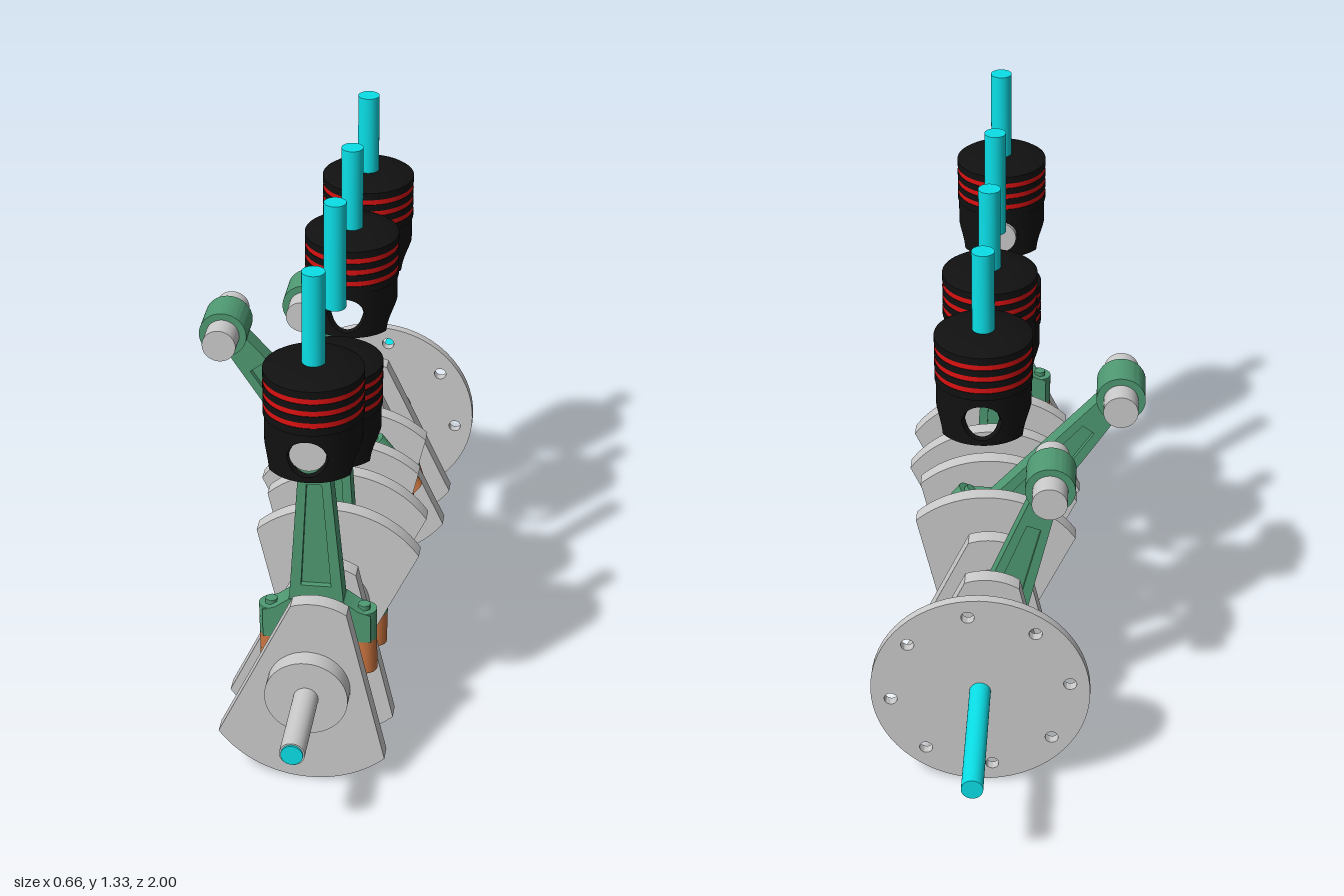
import * as THREE from 'three';
import { toCreasedNormals } from 'three/addons/utils/BufferGeometryUtils.js';

const mat = (color) => new THREE.MeshStandardMaterial({ color, side: THREE.DoubleSide });
const grey = mat(0xcccccc), black = mat(0x111111), red = mat(0xdd1111);
const green = mat(0x4f9a73), orange = mat(0xcc7540), cyan = mat(0x0ae0e8);
const AX = 0.058, AY = 0.272; // crankshaft axis

function add(parent, name, geo, material, x = 0, y = 0, z = 0) {
  const m = new THREE.Mesh(geo, material);
  m.name = name;
  m.position.set(x, y, z);
  parent.add(m);
  return m;
}

// Cylinder along z between two z values
function rodZ(parent, name, r, z0, z1, material, x = 0, y = 0) {
  const geo = new THREE.CylinderGeometry(r, r, Math.abs(z1 - z0), 48).rotateX(Math.PI / 2);
  return add(parent, name, geo, material, x, y, (z0 + z1) / 2);
}

// Flat shape extruded along z, centred on z = 0
function plate(shape, depth) {
  const g = new THREE.ExtrudeGeometry(shape, { depth, bevelEnabled: false, curveSegments: 32 });
  return toCreasedNormals(g.translate(0, 0, -depth / 2), 0.5);
}

const polygon = (pts) => new THREE.Shape(pts.map(([x, y]) => new THREE.Vector2(x, y)));

// Counterweighted web with its throw pointing up
function webShape() {
  const s = new THREE.Shape();
  const a = Math.atan2(-0.173, 0.203), c = Math.atan2(0.13, 0.067);
  s.absarc(0, 0, 0.267, Math.PI - a, a + Math.PI * 2, false);
  s.absarc(0, 0.09, 0.146, c, Math.PI - c, false);
  s.closePath();
  return s;
}

function flangeShape() {
  const s = new THREE.Shape().absarc(0, 0, 0.267, 0, Math.PI * 2);
  for (let i = 0; i < 8; i++) {
    const a = -0.13 + i * Math.PI / 4;
    s.holes.push(new THREE.Path().absarc(0.22 * Math.cos(a), 0.22 * Math.sin(a), 0.016, 0, Math.PI * 2, true));
  }
  return s;
}

// Piston skirt: curved wall with pin holes at front and back and arches at the sides
function skirtGeometry(R, r, top, bottom, pinY, pinR) {
  const pos = [], N = 128;
  const bot = (a) => {
    const z = R * Math.sin(a), w = 0.062;
    return Math.abs(z) < w ? bottom + Math.sqrt(w * w - z * z) * 0.95 : bottom;
  };
  const hole = (a) => {
    const x = R * Math.cos(a);
    return Math.abs(x) < pinR ? Math.sqrt(pinR * pinR - x * x) : 0;
  };
  const P = (rad, a, y) => [rad * Math.cos(a), y, rad * Math.sin(a)];
  const quad = (a, b, c, d) => pos.push(...a, ...b, ...c, ...a, ...c, ...d);
  const wall = (a, b, loA, hiA, loB, hiB) => {
    quad(P(R, a, loA), P(R, a, hiA), P(R, b, hiB), P(R, b, loB));
    quad(P(r, a, loA), P(r, b, loB), P(r, b, hiB), P(r, a, hiA));
    quad(P(R, a, loA), P(R, b, loB), P(r, b, loB), P(r, a, loA));
    quad(P(R, a, hiA), P(r, a, hiA), P(r, b, hiB), P(R, b, hiB));
  };
  for (let i = 0; i < N; i++) {
    const a = i / N * Math.PI * 2, b = (i + 1) / N * Math.PI * 2;
    const hA = hole(a), hB = hole(b);
    const cutA = Math.abs(Math.cos(a)) < 0.7 ? pinY : (top + bot(a)) / 2;
    const cutB = Math.abs(Math.cos(b)) < 0.7 ? pinY : (top + bot(b)) / 2;
    if (hA || hB) {
      wall(a, b, cutA + hA, top, cutB + hB, top);
      wall(a, b, bot(a), cutA - hA, bot(b), cutB - hB);
    } else wall(a, b, bot(a), top, bot(b), top);
  }
  const g = new THREE.BufferGeometry();
  g.setAttribute('position', new THREE.Float32BufferAttribute(pos, 3));
  g.computeVertexNormals();
  return toCreasedNormals(g, 0.5);
}

// Piston with its crown top at y = 0
function makePiston() {
  const g = new THREE.Group();
  g.name = 'piston';
  const R = 0.117, rings = [-0.042, -0.073, -0.104];
  const pts = [[0, 0], [0.06, -0.003], [0.108, -0.01], [R, -0.016]];
  for (const y of rings) pts.push([R, y + 0.007], [R - 0.008, y + 0.007], [R - 0.008, y - 0.007], [R, y - 0.007]);
  pts.push([R, -0.13], [0, -0.13]);
  const crown = new THREE.LatheGeometry(pts.reverse().map(([x, y]) => new THREE.Vector2(x, y)), 64);
  add(g, 'pistonCrown', toCreasedNormals(crown, 0.5), black);
  for (const y of rings) add(g, 'pistonRing', new THREE.CylinderGeometry(R - 0.001, R - 0.001, 0.013, 64), red, 0, y, 0);
  add(g, 'pistonSkirt', skirtGeometry(0.114, 0.095, -0.13, -0.255, -0.195, 0.046), black);
  return g;
}

// Connecting rod hanging down from its wrist pin at the origin
function makeRod() {
  const g = new THREE.Group(), L = 0.56;
  g.name = 'connectingRod';
  rodZ(g, 'wristPin', 0.043, -0.11, 0.11, grey);
  const eye = new THREE.Shape().absarc(0, 0, 0.061, 0, Math.PI * 2);
  eye.holes.push(new THREE.Path().absarc(0, 0, 0.043, 0, Math.PI * 2, true));
  add(g, 'smallEnd', plate(eye, 0.1), green);

  // Tapered beam with a recess on both faces
  const beam = polygon([[-0.033, -0.05], [0.033, -0.05], [0.066, -0.46], [-0.066, -0.46]]);
  const pocket = [[-0.018, -0.13], [0.018, -0.13], [0.036, -0.41], [-0.036, -0.41]];
  beam.holes.push(polygon(pocket));
  add(g, 'beam', plate(beam, 0.052), green);
  add(g, 'beamWeb', plate(polygon(pocket), 0.022), green);

  // Big end: upper half with shoulders, lower cap with a rib
  const upper = new THREE.Shape();
  upper.moveTo(0.13, 0).lineTo(0.13, 0.075).lineTo(0.1, 0.085).lineTo(0.066, 0.11).lineTo(-0.066, 0.11);
  upper.lineTo(-0.1, 0.085).lineTo(-0.13, 0.075).lineTo(-0.13, 0).lineTo(-0.06, 0);
  upper.absarc(0, 0, 0.06, Math.PI, 0, true);
  add(g, 'bigEnd', plate(upper, 0.06), green, 0, -L, 0);
  const half = (r) => {
    const s = new THREE.Shape().absarc(0, 0, r, 0, Math.PI, false);
    s.lineTo(-0.06, 0).absarc(0, 0, 0.06, Math.PI, 0, true);
    return s;
  };
  add(g, 'bearingHalf', plate(half(0.09), 0.118), green, 0, -L, 0);
  add(g, 'capBearingHalf', plate(half(0.09), 0.118), orange, 0, -L, 0).rotation.z = Math.PI;
  const cap = new THREE.Shape();
  cap.moveTo(-0.13, 0).lineTo(-0.13, -0.075).lineTo(-0.045, -0.168).lineTo(0.045, -0.168);
  cap.lineTo(0.13, -0.075).lineTo(0.13, 0).lineTo(0.06, 0);
  cap.absarc(0, 0, 0.06, 0, Math.PI, true);
  add(g, 'bigEndCap', plate(cap, 0.046), orange, 0, -L, 0);
  for (const s of [-1, 1]) {
    add(g, 'boltBoss', new THREE.CylinderGeometry(0.03, 0.03, 0.08, 24), green, s * 0.112, -L + 0.04, 0);
    add(g, 'capBoltBoss', new THREE.CylinderGeometry(0.03, 0.03, 0.09, 24), orange, s * 0.112, -L - 0.045, 0);
    add(g, 'bolt', new THREE.CylinderGeometry(0.016, 0.016, 0.012, 6), green, s * 0.112, -L + 0.086, 0);
  }
  return g;
}

export function createModel() {
  const model = new THREE.Group();
  model.name = 'crankAssembly';

  // Crankshaft
  const crank = new THREE.Group();
  crank.name = 'crankshaft';
  crank.position.set(AX, AY, 0);
  model.add(crank);
  rodZ(crank, 'centreShaft', 0.026, -1, 1, cyan);
  rodZ(crank, 'noseShaft', 0.03, 0.77, 0.995, grey);
  for (const [a, b] of [[0.775, 0.72], [0.52, 0.35], [0.15, 0.03], [-0.165, -0.28], [-0.48, -0.61]])
    rodZ(crank, 'mainJournal', 0.1, a, b, grey);
  add(crank, 'flange', plate(flangeShape(), 0.025), grey, 0, 0, -0.612);

  // Throws: pair centre and rotation of each
  const tilt = 0.107, web = plate(webShape(), 0.042);
  const throws = [[0.62, -tilt], [0.248, Math.PI - tilt], [-0.067, Math.PI + tilt], [-0.385, tilt]];
  for (const [z, angle] of throws) {
    const t = new THREE.Group();
    t.name = 'crankThrow';
    t.position.z = z;
    t.rotation.z = angle;
    crank.add(t);
    for (const s of [-1, 1]) add(t, 'counterweightWeb', web, grey, 0, 0, s * 0.086);
    rodZ(t, 'crankPin', 0.058, -0.07, 0.07, grey, 0, 0.09);
  }

  // Connecting rods: wrist pin position and lean
  for (const [x, y, z, lean] of [[AX, 0.917, 0.62, 0.015], [AX, 0.745, 0.252, -0.015],
    [-0.27, 0.8, -0.07, 0.66], [-0.104, 0.73, -0.383, 0.31]]) {
    const rod = makeRod();
    rod.position.set(x, y, z);
    rod.rotation.z = lean;
    model.add(rod);
  }

  // Pistons with their centre rods
  for (const [top, z] of [[1.108, 0.633], [0.932, 0.275], [1.125, -0.035], [1.132, -0.355]]) {
    const piston = makePiston();
    piston.position.set(AX, top, z);
    model.add(piston);
    add(model, 'cylinderRod', new THREE.CylinderGeometry(0.027, 0.027, 0.275, 32), cyan, AX, 1.198, z);
  }
  return model;
}
